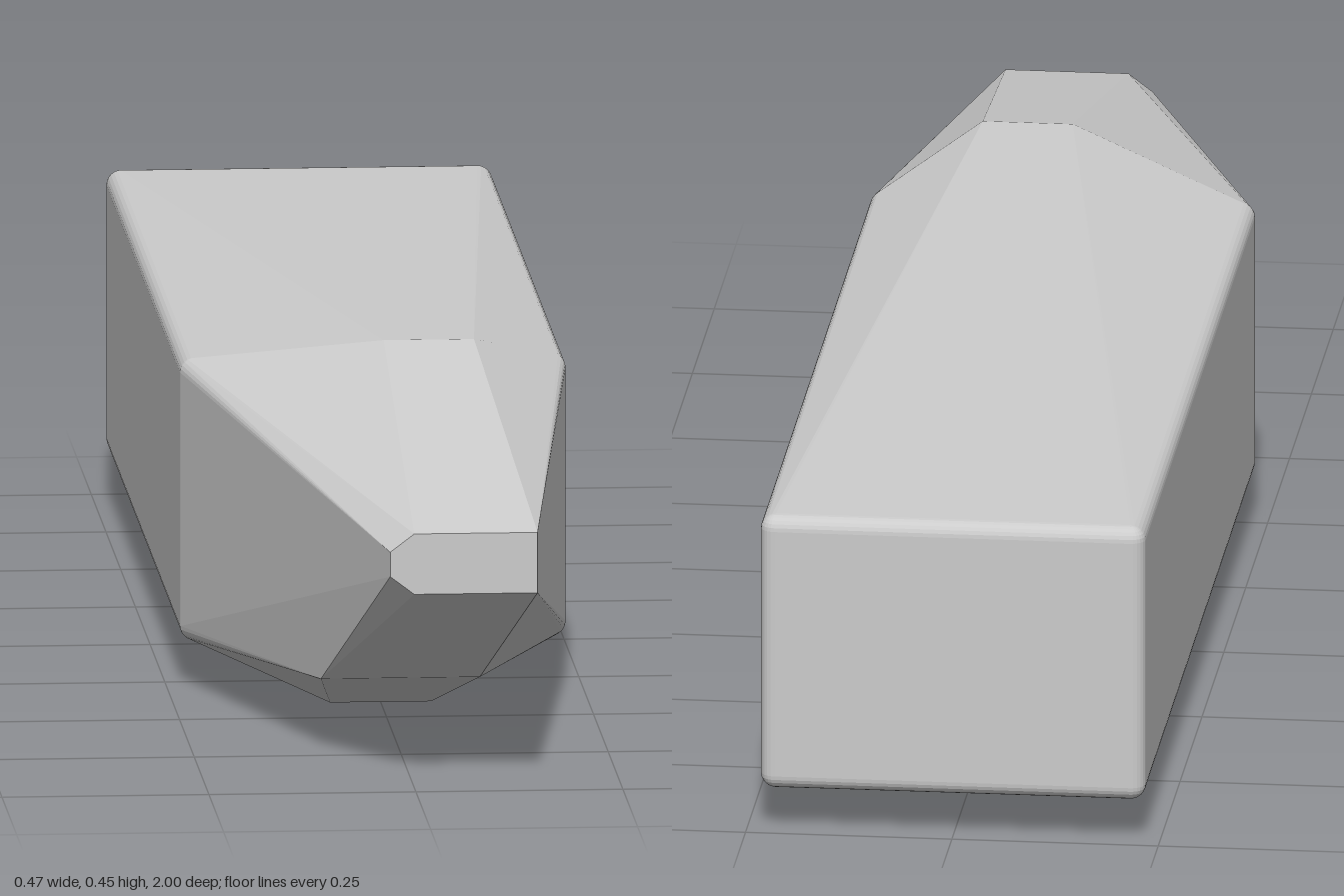
import * as THREE from 'three';
import { ConvexGeometry } from 'three/addons/geometries/ConvexGeometry.js';

const V = (x, y, z) => new THREE.Vector3(x, y, z);

export function createModel() {
  const group = new THREE.Group();
  group.name = 'taperedBlock';
  const points = [];

  // Rounded corners of the long box: a small ball of points at each
  const radius = 0.018;
  const ball = new THREE.SphereGeometry(radius, 24, 12).getAttribute('position');
  for (const x of [-0.215, 0.215])
    for (const y of [0.075, 0.385])
      for (const z of [-1 + radius, 0.265])
        for (let i = 0; i < ball.count; i++)
          points.push(V(x + ball.getX(i), y + ball.getY(i), z + ball.getZ(i)));

  // Upper ridge, offset to one side
  points.push(V(0.003, 0.448, 0.41), V(0.112, 0.448, 0.41));

  // Keel and the chin in front of it
  for (const side of [-1, 1])
    points.push(V(side * 0.061, 0.003, 0.4), V(side * 0.096, 0.094, 0.735));

  // Flat nose with two clipped corners
  for (const [x, y] of [[-0.031, 0.297], [-0.002, 0.319], [0.147, 0.319],
    [0.147, 0.245], [-0.002, 0.245], [-0.031, 0.267]])
    points.push(V(x, y, 1));

  const body = new THREE.Mesh(
    new ConvexGeometry(points),
    new THREE.MeshStandardMaterial({ color: 0xcccccc, flatShading: true })
  );
  body.name = 'body';
  group.add(body);
  return group;
}
